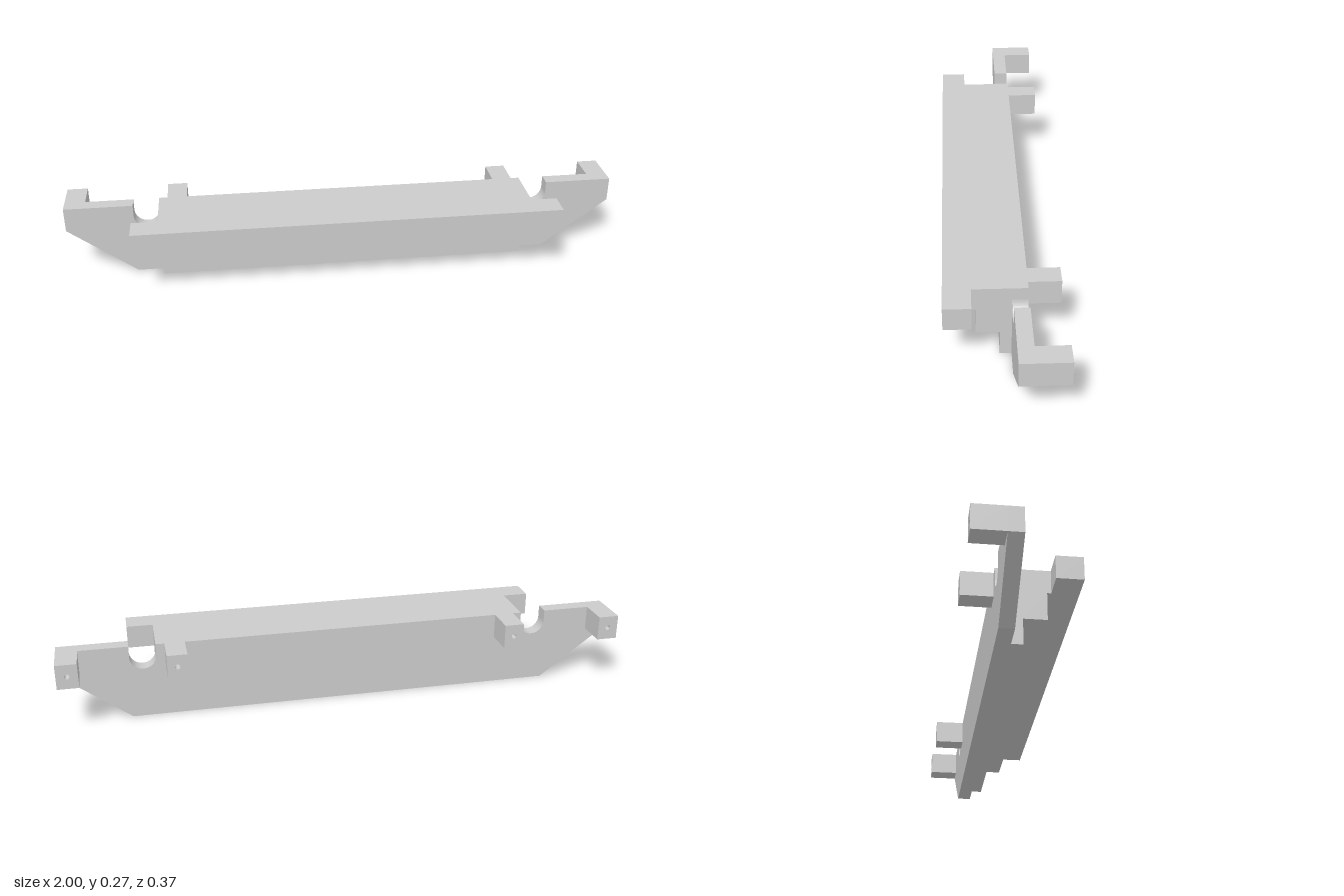
import * as THREE from 'three';

const TOP = 0.267;
const material = new THREE.MeshStandardMaterial({ color: 0xcccccc, flatShading: true });

function addMesh(group, name, geometry) {
  const mesh = new THREE.Mesh(geometry, material);
  mesh.name = name;
  group.add(mesh);
  return mesh;
}

function addBox(group, name, x0, x1, y0, y1, z0, z1) {
  const mesh = addMesh(group, name, new THREE.BoxGeometry(x1 - x0, y1 - y0, z1 - z0));
  mesh.position.set((x0 + x1) / 2, (y0 + y1) / 2, (z0 + z1) / 2);
}

function extrude(shape, depth) {
  return new THREE.ExtrudeGeometry(shape, { depth, bevelEnabled: false, curveSegments: 14 });
}

export function createModel() {
  const group = new THREE.Group();

  // Back plate with sloped ends and a round-bottomed notch near each end
  const r = 0.046, cx = 0.711, cy = 0.226;
  const plate = new THREE.Shape();
  plate.moveTo(-0.76, 0);
  plate.lineTo(0.76, 0);
  plate.lineTo(1, 0.18);
  plate.lineTo(1, TOP);
  for (const x of [cx, -cx]) {
    plate.lineTo(x + r, TOP);
    plate.lineTo(x + r, cy);
    plate.absarc(x, cy, r, 0, -Math.PI, true);
    plate.lineTo(x - r, TOP);
  }
  plate.lineTo(-1, TOP);
  plate.lineTo(-1, 0.18);
  plate.closePath();
  addMesh(group, 'backPlate', extrude(plate, 0.05)).position.z = -0.08;

  // Stepped body: its (z, y) section is swept along x
  const section = new THREE.Shape([
    [-0.03, 0], [0.008, 0], [0.008, 0.09], [0.085, 0.09],
    [0.085, 0.186], [0.187, 0.186], [0.187, TOP], [-0.03, TOP],
  ].map(([z, y]) => new THREE.Vector2(z, y)));
  const body = extrude(section, 1.33);
  body.rotateY(-Math.PI / 2);
  body.translate(0.665, 0, 0);
  addMesh(group, 'steppedBody', body);

  for (const [side, s] of [['left', 1], ['right', -1]]) {
    // Front bar end that overhangs the body
    const a = s * 0.665, b = s * 0.757;
    addBox(group, side + 'BarEnd', Math.min(a, b), Math.max(a, b), 0.186, TOP, 0.098, 0.187);

    // Two rear posts, each with a small screw hole
    for (const [name, x, w] of [['InnerPost', 0.6, 0.07], ['OuterPost', 0.9635, 0.073]]) {
      const h = TOP - 0.18;
      const post = new THREE.Shape([
        new THREE.Vector2(-w / 2, -h / 2), new THREE.Vector2(w / 2, -h / 2),
        new THREE.Vector2(w / 2, h / 2), new THREE.Vector2(-w / 2, h / 2),
      ]);
      post.holes.push(new THREE.Path().absarc(0, 0, 0.009, 0, Math.PI * 2, true));
      addMesh(group, side + name, extrude(post, 0.107)).position.set(s * x, 0.18 + h / 2, -0.187);
    }
  }
  return group;
}
